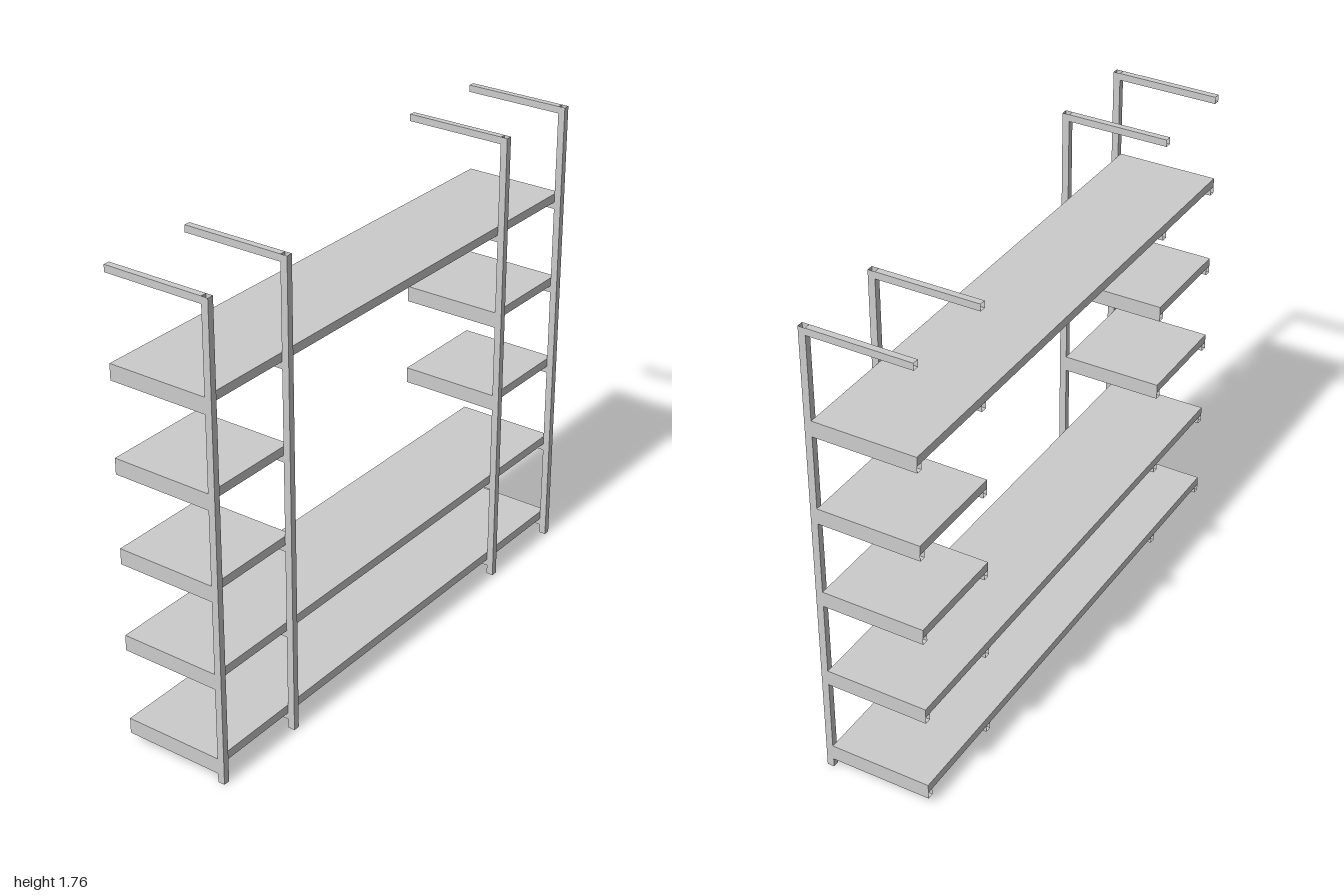
import * as THREE from 'three';

const TUBE_W = 0.024;   // tube width across x
const TUBE_D = 0.026;   // tube depth / arm height
const SHELF_T = 0.033;
const BACK = -0.203, FRONT = 0.203;
const POST_BACK = FRONT - TUBE_D;
const HEIGHT = 1.76;

export function createModel() {
  const group = new THREE.Group();
  const wood = new THREE.MeshStandardMaterial({ color: 0xcccccc });
  const metal = new THREE.MeshStandardMaterial({
    color: 0xcccccc, flatShading: true, side: THREE.DoubleSide,
  });

  const add = (name, geometry, material, x, y, z) => {
    const mesh = new THREE.Mesh(geometry, material);
    mesh.name = name;
    mesh.position.set(x, y, z);
    group.add(mesh);
  };

  // Square tube, open at both ends, running along y
  const tube = (w, length, d) =>
    new THREE.CylinderGeometry(Math.SQRT1_2, Math.SQRT1_2, 1, 4, 1, true, Math.PI / 4)
      .scale(w, length, d);

  const depth = POST_BACK - BACK;
  const midZ = (POST_BACK + BACK) / 2;
  const postGeo = tube(TUBE_W, HEIGHT, TUBE_D);
  const armGeo = tube(TUBE_W, depth, TUBE_D).rotateX(Math.PI / 2);

  const levels = [0, 1, 2, 3, 4].map(i => 0.0935 + i / 3); // shelf tops

  // Four upright posts, each with a top arm and one arm under every shelf
  for (const x of [-0.988, -0.613, 0.613, 0.988]) {
    add('post', postGeo, metal, x, HEIGHT / 2, FRONT - TUBE_D / 2);
    add('topArm', armGeo, metal, x, HEIGHT - TUBE_D / 2, midZ);
    for (const top of levels)
      add('shelfArm', armGeo, metal, x, top - SHELF_T - TUBE_D / 2, midZ);
  }

  // Full-width shelves, and pairs of short ones on the two middle levels
  const longGeo = new THREE.BoxGeometry(2, SHELF_T, depth);
  const shortGeo = new THREE.BoxGeometry(0.399, SHELF_T, depth);
  levels.forEach((top, i) => {
    const y = top - SHELF_T / 2;
    if (i === 2 || i === 3) {
      add('rightShortShelf', shortGeo, wood, -0.8005, y, midZ);
      add('leftShortShelf', shortGeo, wood, 0.8005, y, midZ);
    } else {
      add('longShelf', longGeo, wood, 0, y, midZ);
    }
  });

  return group;
}
